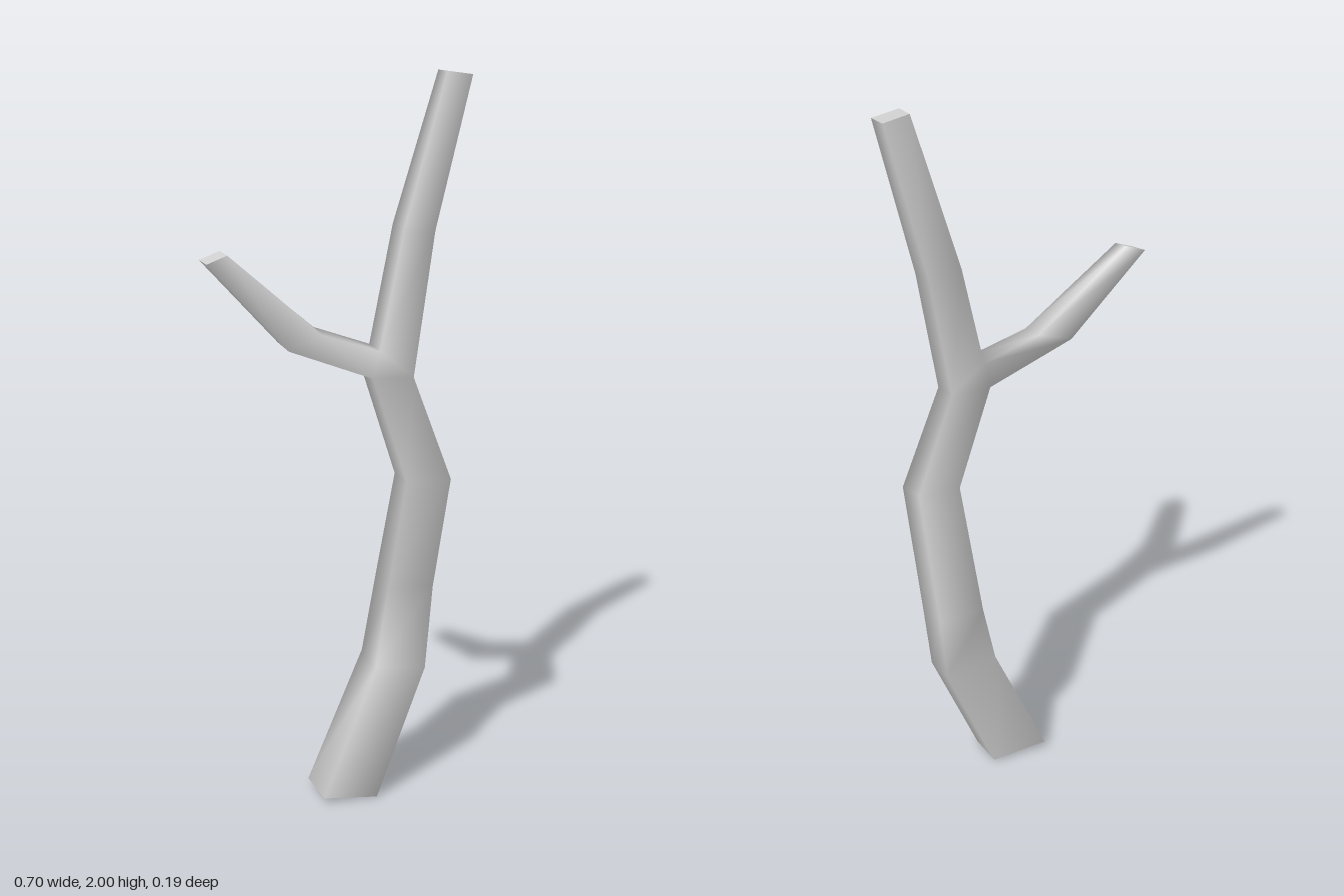
import * as THREE from 'three';

// Four-cornered cross-sections of the trunk: front left, front right, back right, back left
const trunkRings = [
  [[-0.05, 0.02, 0.07], [0.105, 0, 0.065], [0.09, 0.005, -0.035], [-0.07, 0.025, -0.04]],
  [[0.105, 0.39, 0.04], [0.25, 0.375, 0.035], [0.235, 0.38, -0.05], [0.09, 0.41, -0.05]],
  [[0.155, 0.61, -0.01], [0.283, 0.6, -0.01], [0.265, 0.61, -0.095], [0.14, 0.62, -0.09]],
  [[0.17, 0.955, 0.093], [0.295, 0.95, 0.085], [0.275, 0.96, 0.01], [0.16, 0.955, 0.015]],
  [[0.08, 1.24, 0.08], [0.19, 1.235, 0.075], [0.175, 1.24, 0.015], [0.07, 1.24, 0.015]],
];
// Upper limb above the fork
const limbRings = [
  [[0.18, 1.61, 0.005], [0.265, 1.6, 0], [0.25, 1.6, -0.055], [0.165, 1.615, -0.048]],
  [[0.28, 2, 0.025], [0.35, 1.99, 0.015], [0.338, 1.99, -0.03], [0.27, 2, -0.02]],
];
// Side branch: bottom back, bottom front, top front, top back
const branchRings = [
  [[-0.155, 1.335, 0.012], [-0.14, 1.325, 0.073], [-0.05, 1.36, 0.068], [-0.06, 1.368, 0.006]],
  [[-0.35, 1.555, 0], [-0.338, 1.55, 0.04], [-0.285, 1.57, 0.038], [-0.297, 1.575, 0]],
];

function makeGeometry(points, index) {
  const geometry = new THREE.BufferGeometry();
  geometry.setAttribute('position', new THREE.Float32BufferAttribute(points.flat(), 3));
  geometry.setIndex(index);
  geometry.computeVertexNormals();
  return geometry;
}

// Smooth bark: rings share their corners, and the limb and branch share the fork
function barkGeometry() {
  const points = [];
  const index = [];
  const add = (ring) => ring.map((p) => points.push(p) - 1);
  const skin = (a, b) => {
    for (let i = 0; i < 4; i++) {
      const j = (i + 1) % 4;
      index.push(a[i], a[j], b[j], a[i], b[j], b[i]);
    }
  };
  const chain = (start, rings) => rings.reduce((last, ring) => {
    const next = add(ring);
    skin(last, next);
    return next;
  }, start);

  const neck = chain(add(trunkRings[0]), trunkRings.slice(1));
  const [fl, fr, br, bl] = neck;
  const [crotchFront, crotchBack] = add([[0.1, 1.31, 0.074], [0.088, 1.315, 0.01]]);
  index.push(fl, fr, crotchFront, br, bl, crotchBack);
  chain([crotchFront, fr, br, crotchBack], limbRings);
  chain([bl, fl, crotchFront, crotchBack], branchRings);
  return makeGeometry(points, index);
}

export function createModel() {
  const model = new THREE.Group();
  model.name = 'forkedBranch';
  const bark = new THREE.MeshStandardMaterial({ color: 0xcccccc });
  bark.name = 'paleGrey';
  const add = (name, geometry) => {
    const mesh = new THREE.Mesh(geometry, bark);
    mesh.name = name;
    model.add(mesh);
  };

  add('bark', barkGeometry());

  // Flat cut ends
  const quad = [0, 1, 2, 0, 2, 3];
  add('trunkCut', makeGeometry([...trunkRings[0]].reverse(), quad));
  add('limbCut', makeGeometry(limbRings[1], quad));
  add('sideBranchCut', makeGeometry(branchRings[1], quad));
  return model;
}
